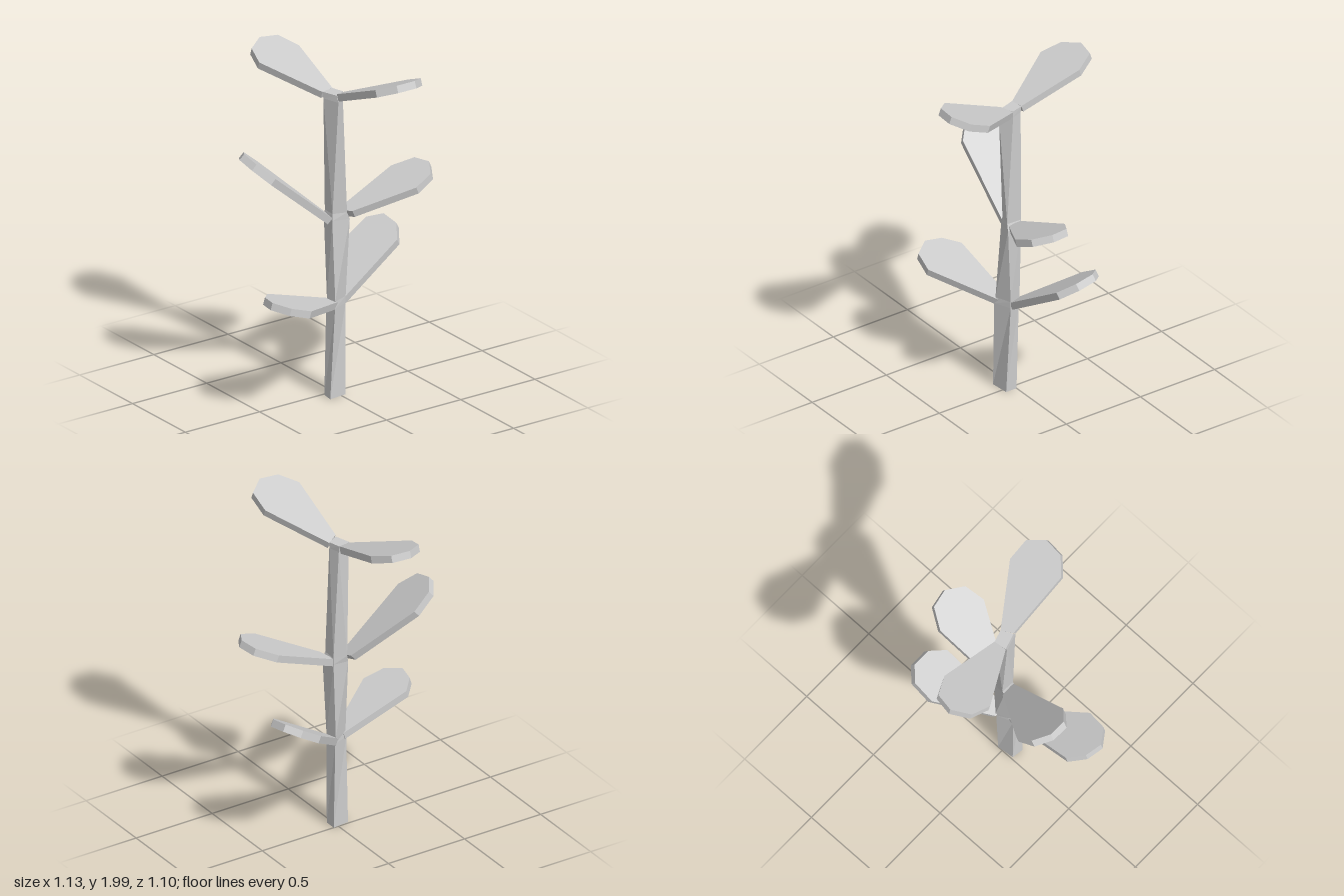
import * as THREE from 'three';

const material = new THREE.MeshStandardMaterial({ color: 0xcccccc, flatShading: true });

// Faceted solid through rings of equal length, bottom to top, counter-clockwise from above
function loft(rings, name) {
  const pos = [];
  const tri = (...pts) => pts.forEach((p) => pos.push(...p));
  const n = rings[0].length;
  for (let r = 0; r < rings.length - 1; r++) {
    const lo = rings[r], hi = rings[r + 1];
    for (let i = 0; i < n; i++) {
      const j = (i + 1) % n;
      tri(lo[i], lo[j], hi[j]);
      tri(lo[i], hi[j], hi[i]);
    }
  }
  const first = rings[0], last = rings[rings.length - 1];
  for (let i = 1; i < n - 1; i++) {
    tri(first[0], first[i + 1], first[i]);
    tri(last[0], last[i], last[i + 1]);
  }
  const geometry = new THREE.BufferGeometry();
  geometry.setAttribute('position', new THREE.Float32BufferAttribute(pos, 3));
  geometry.computeVertexNormals();
  const mesh = new THREE.Mesh(geometry, material);
  mesh.name = name;
  return mesh;
}

// Leaf: an outline (x, z) lying on the tilted plane y = y0 + gx*x + gz*z, given thickness
function leaf({ name, y0, gx, gz, outline }) {
  const t = 0.042;
  const normal = new THREE.Vector3(-gx, 1, -gz).normalize();
  const top = outline.map(([x, z]) => new THREE.Vector3(x, y0 + gx * x + gz * z, z));
  const bottom = top.map((p) => p.clone().addScaledVector(normal, -t));
  return loft([bottom, top], name);
}

const leaves = [
  { name: 'lowerRightLeaf', y0: 0.562, gx: -0.31, gz: 0,
    outline: [[-0.04, 0.01], [-0.46, 0.02], [-0.535, 0.1], [-0.555, 0.2], [-0.49, 0.29], [-0.37, 0.31], [-0.03, 0.08]] },
  { name: 'lowerLeftLeaf', y0: 0.56, gx: 0.6, gz: -0.2,
    outline: [[0.03, 0.05], [0.42, 0.01], [0.48, -0.08], [0.475, -0.195], [0.405, -0.265], [0.285, -0.26], [0.02, -0.03]] },
  { name: 'middleRightLeaf', y0: 1.035, gx: -0.85, gz: -0.2,
    outline: [[-0.05, -0.05], [-0.335, -0.25], [-0.44, -0.235], [-0.5, -0.145], [-0.495, -0.035], [-0.42, 0.04], [-0.04, 0.045]] },
  { name: 'middleLeftLeaf', y0: 1.06, gx: 0.41, gz: 0,
    outline: [[0.07, 0.08], [0.375, 0.255], [0.49, 0.23], [0.55, 0.13], [0.53, 0.02], [0.42, -0.047], [0.03, -0.015]] },
  { name: 'topBackLeaf', y0: 1.78, gx: 0, gz: -0.33,
    outline: [[0.02, -0.04], [0.055, -0.405], [-0.005, -0.52], [-0.115, -0.54], [-0.215, -0.475], [-0.245, -0.36], [-0.055, -0.03]] },
  { name: 'topFrontLeaf', y0: 1.775, gx: 0, gz: 0.41,
    outline: [[-0.025, 0.065], [-0.033, 0.44], [0.05, 0.525], [0.165, 0.535], [0.255, 0.465], [0.257, 0.34], [0.04, 0.03]] },
];

// Four-sided twisting stem: height, then corners (x, z)
const stemRings = [
  [0.005, [-0.08, 0.08], [0.03, 0.07], [0.03, 0], [-0.07, 0.01]],
  [0.54, [-0.055, 0.09], [0.045, 0.05], [0.03, -0.015], [-0.065, 0.02]],
  [0.58, [-0.05, 0.085], [0.045, 0.05], [0.03, -0.02], [-0.06, 0.02]],
  [1.045, [-0.045, 0.05], [0.055, 0.075], [0.045, -0.02], [-0.045, -0.03]],
  [1.085, [-0.04, 0.045], [0.04, 0.07], [0.045, -0.02], [-0.035, -0.035]],
  [1.755, [-0.055, -0.02], [-0.025, 0.08], [0.04, 0.03], [0.02, -0.035]],
  [1.792, [-0.055, -0.03], [-0.025, 0.065], [0.04, 0.03], [0.02, -0.04]],
];

export function createModel() {
  const model = new THREE.Group();
  model.name = 'plant';
  const rings = stemRings.map(([y, ...corners]) => corners.map(([x, z]) => new THREE.Vector3(x, y, z)));
  model.add(loft(rings, 'stem'));
  leaves.forEach((spec) => model.add(leaf(spec)));
  return model;
}
